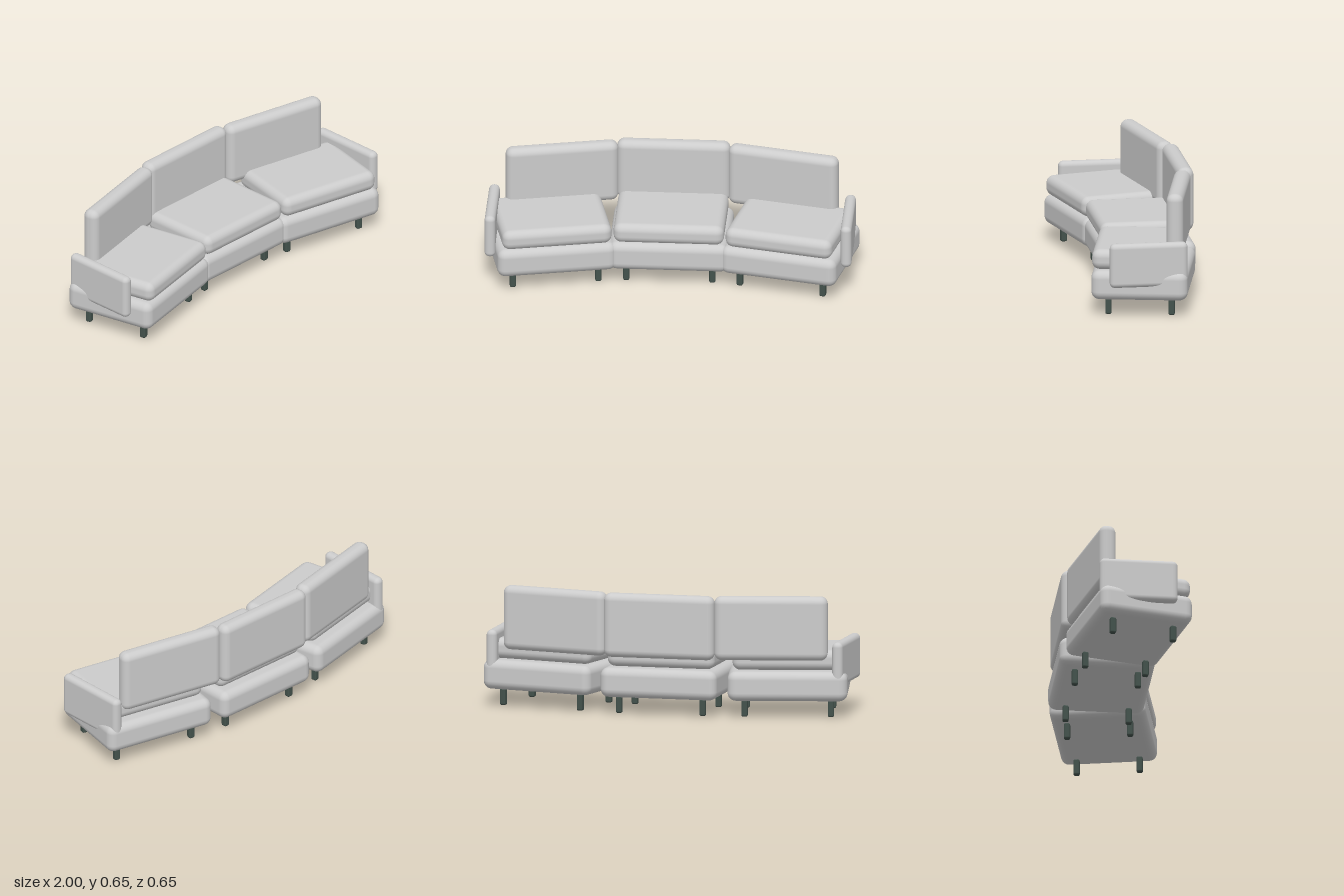
import * as THREE from 'three';
import { RoundedBoxGeometry } from 'three/addons/geometries/RoundedBoxGeometry.js';

export function createModel() {
  const fabric = new THREE.MeshStandardMaterial({ color: 0xcccccc });
  fabric.name = 'lightGreyFabric';
  const darkMetal = new THREE.MeshStandardMaterial({ color: 0x43524c });
  darkMetal.name = 'darkGreenMetal';

  const sofa = new THREE.Group();
  sofa.name = 'curvedSofa';

  // Shared shapes
  const baseGeo = new RoundedBoxGeometry(0.64, 0.16, 0.515, 3, 0.045);
  const cushionGeo = new RoundedBoxGeometry(0.59, 0.11, 0.455, 3, 0.043);
  const backGeo = new RoundedBoxGeometry(0.605, 0.345, 0.09, 3, 0.04);
  const armGeo = new RoundedBoxGeometry(0.058, 0.24, 0.418, 3, 0.027);
  const legGeo = new RoundedBoxGeometry(0.033, 0.09, 0.033, 2, 0.009);

  const add = (parent, name, geo, mat, x, y, z, turn = 0) => {
    const mesh = new THREE.Mesh(geo, mat);
    mesh.name = name;
    mesh.position.set(x, y, z);
    mesh.rotation.y = turn;
    parent.add(mesh);
  };

  // One seat section: base, cushion and four legs
  const addSection = (name, x, z, turn) => {
    const section = new THREE.Group();
    section.name = name;
    section.position.set(x, 0, z);
    section.rotation.y = turn;
    add(section, 'base', baseGeo, fabric, 0, 0.17, 0);
    add(section, 'seatCushion', cushionGeo, fabric, 0, 0.305, 0.0275);
    for (const sx of [-1, 1]) {
      for (const sz of [-1, 1]) {
        add(section, 'leg', legGeo, darkMetal, sx * 0.23, 0.045, sz * 0.169);
      }
    }
    sofa.add(section);
  };

  // Straight middle section
  addSection('middleSection', 0, -0.0675, 0);
  add(sofa, 'middleBackrest', backGeo, fabric, 0, 0.4775, -0.27);

  // Angled end sections with armrests
  const angle = THREE.MathUtils.degToRad(12.5);
  for (const [side, s] of [['left', 1], ['right', -1]]) {
    addSection(side + 'Section', s * 0.64, 0.01, -s * angle);
    add(sofa, side + 'Backrest', backGeo, fabric, s * 0.593, 0.4775, -0.187, -s * angle);
    add(sofa, side + 'Armrest', armGeo, fabric, s * 0.951, 0.29, 0.027);
  }
  return sofa;
}
